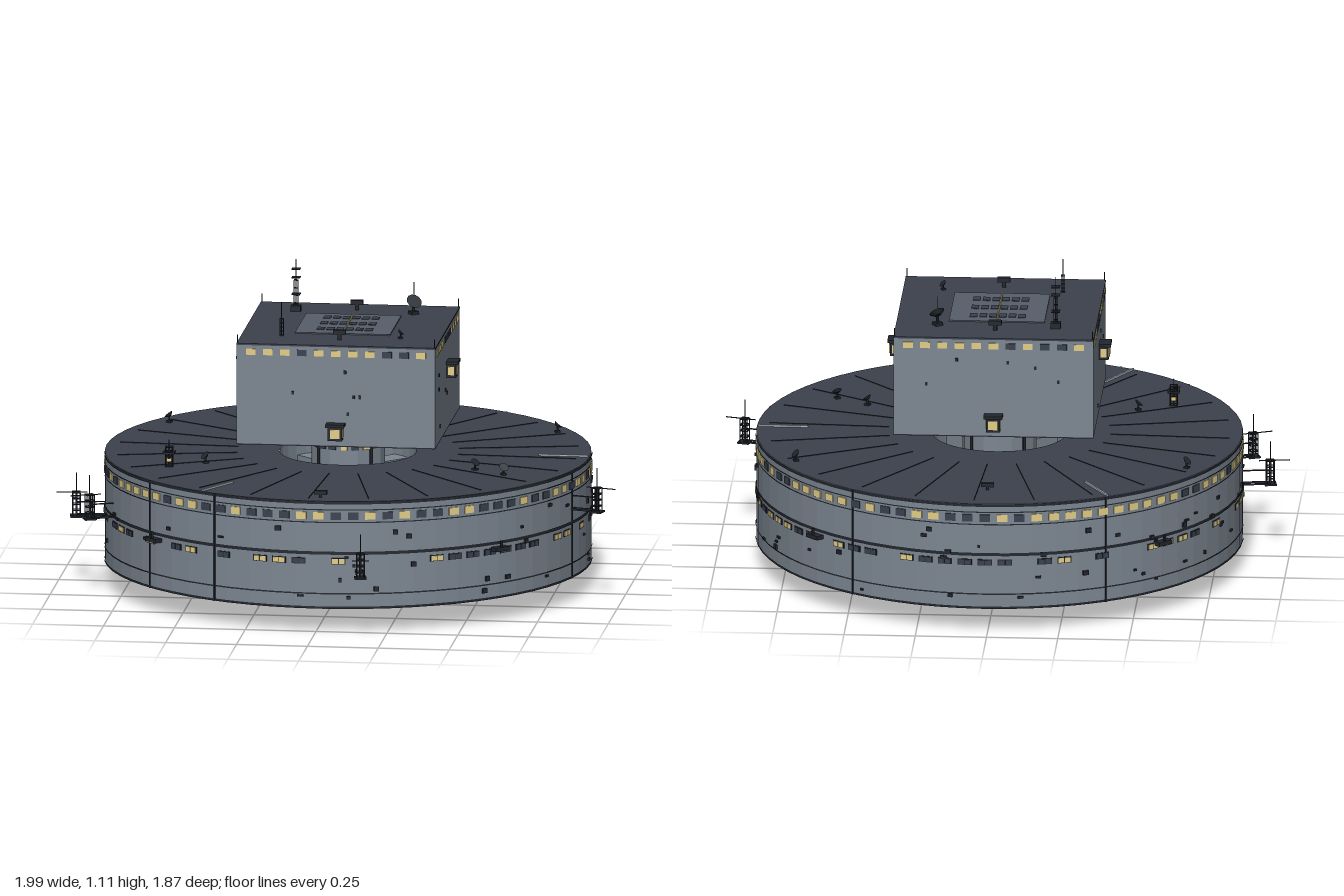
import * as THREE from 'three';

const mat = (name, color) => Object.assign(new THREE.MeshStandardMaterial({ color }), { name });
const hull = mat('hull grey', 0x7c8691);
const deck = mat('deck slate', 0x3c414d);
const trim = mat('dark trim', 0x22262d);
const panel = mat('roof panel grey', 0x575e6a);
const glass = mat('unlit window', 0x39414e);
const lit = mat('lit window', 0xe2cd86);
const pale = mat('pale marking', 0xb4b9bd);
hull.flatShading = true;

const R = 0.852, Y0 = 0.085, Y1 = 0.47, HOLE = 0.24, SIDES = 64;

// small seeded generator for scattered details
let seed = 7;
const rnd = () => (seed = (seed * 16807) % 2147483647) / 2147483647;

function add(parent, name, geo, material, x = 0, y = 0, z = 0) {
  const m = new THREE.Mesh(geo, material);
  m.name = name;
  m.position.set(x, y, z);
  parent.add(m);
  return m;
}
const box = (p, name, m, w, h, d, x, y, z) => add(p, name, new THREE.BoxGeometry(w, h, d), m, x, y, z);
const rod = (p, name, m, r, h, x, y, z) => add(p, name, new THREE.CylinderGeometry(r, r, h, 6), m, x, y + h / 2, z);

// box standing on a circle, turned so its z axis points outward (angle 0 = +x, 90 deg = +z)
function onRing(p, name, m, w, h, d, r, y, a) {
  const b = box(p, name, m, w, h, d, Math.cos(a) * r, y, Math.sin(a) * r);
  b.rotation.y = Math.PI / 2 - a;
  return b;
}

// flat ring lying at height y
function ring(p, name, m, inner, outer, y, up) {
  const r = add(p, name, new THREE.RingGeometry(inner, outer, SIDES), m, 0, y, 0);
  r.rotation.x = up ? -Math.PI / 2 : Math.PI / 2;
}

// open wall of a cylinder; inward walls show their inside
function wall(p, name, m, r, y0, y1, inward = false) {
  const g = new THREE.CylinderGeometry(r, r, y1 - y0, SIDES, 1, true);
  if (inward) g.scale(-1, 1, 1), g.setIndex(Array.from(g.index.array));
  const w = add(p, name, g, inward ? innerHull : m, 0, (y0 + y1) / 2, 0);
  return w;
}
const innerHull = hull.clone();
innerHull.side = THREE.DoubleSide;

function buildDisc(body) {
  const disc = new THREE.Group();
  disc.name = 'disc';
  body.add(disc);
  wall(disc, 'outerWall', hull, R, Y0, Y1);
  const shaft = add(disc, 'shaftWall', new THREE.CylinderGeometry(HOLE, HOLE, Y1 - Y0, 32, 1, true), innerHull, 0, (Y0 + Y1) / 2, 0);
  shaft.name = 'shaftWall';
  ring(disc, 'deckTop', deck, HOLE, R, Y1, true);
  ring(disc, 'underside', deck, HOLE, R, Y0, false);
  // grooves and lips around the rim
  for (const [y, h] of [[0.465, 0.01], [0.285, 0.011], [0.14, 0.005], [0.09, 0.008], [0.44, 0.004], [0.395, 0.004]])
    wall(disc, 'rimBand', trim, R + 0.003, y - h / 2, y + h / 2);
  // upper window row
  for (let i = 0; i < 88; i++)
    onRing(disc, 'upperWindow', rnd() < 0.62 ? lit : glass, 0.037, 0.026, 0.006, R, 0.418, (i / 88) * Math.PI * 2);
  // lower window row with gaps
  for (let i = 0; i < 76; i++) {
    const k = rnd();
    if (k < 0.25) continue;
    const a = (i / 76) * Math.PI * 2;
    onRing(disc, 'lowerWindowFrame', trim, 0.05, 0.022, 0.004, R, 0.256, a);
    for (const s of [-1, 1]) onRing(disc, 'lowerWindow', k < 0.72 ? lit : glass, 0.02, 0.017, 0.008, R, 0.256, a + s * 0.0135);
  }
  // small hatches and vents
  for (let i = 0; i < 70; i++)
    onRing(disc, 'vent', trim, 0.008 + rnd() * 0.014, 0.006 + rnd() * 0.012, 0.012, R, 0.11 + rnd() * 0.27, rnd() * Math.PI * 2);
  // vertical wall seams
  for (const a of [0.28, 2.03, 2.4, 4.2, 5.3]) onRing(disc, 'wallSeam', trim, 0.006, Y1 - Y0, 0.006, R, (Y0 + Y1) / 2, a);
  // deck seams and three pale approach lines
  for (let i = 0; i < 24; i++) onRing(disc, 'deckSeam', trim, 0.003, 0.002, 0.42, 0.6, Y1 + 0.001, (i / 24) * Math.PI * 2 + 0.05);
  for (let i = 0; i < 3; i++) onRing(disc, 'deckLine', pale, 0.007, 0.006, 0.175, 0.76, Y1 + 0.003, (i / 3) * Math.PI * 2);
  // brackets at the diagonals
  for (let i = 0; i < 4; i++) {
    const a = Math.PI / 4 + i * Math.PI / 2;
    onRing(disc, 'bracket', trim, 0.06, 0.014, 0.03, R + 0.012, 0.265, a);
    onRing(disc, 'bracketPost', trim, 0.008, 0.03, 0.008, R + 0.02, 0.28, a);
  }
}

function buildCore(body) {
  const core = new THREE.Group();
  core.name = 'core';
  body.add(core);
  add(core, 'coreColumn', new THREE.CylinderGeometry(0.13, 0.13, 0.56, 16), hull, 0, 0.28, 0);
  add(core, 'coreBase', new THREE.CylinderGeometry(0.131, 0.131, 0.004, 16), deck, 0, 0.002, 0);
  for (let i = 0; i < 4; i++) {
    const a = i * Math.PI / 2 + Math.PI / 4;
    onRing(core, 'coreSpoke', hull, 0.08, 0.28, 0.13, 0.18, 0.28, a);
    onRing(core, 'coreRib', trim, 0.012, 0.55, 0.006, 0.13, 0.28, a);
  }
  for (let i = 0; i < 20; i++)
    for (const y of [0.505, 0.53])
      onRing(core, 'coreWindow', rnd() < 0.5 ? lit : glass, 0.026, 0.014, 0.008, 0.129, y, (i / 20) * Math.PI * 2);
  for (let i = 0; i < 8; i++) onRing(core, 'coreVent', trim, 0.016, 0.012, 0.008, 0.129, 0.03, i * Math.PI / 4 + 0.2);
}

function buildTower(body) {
  const tower = new THREE.Group();
  tower.name = 'tower';
  body.add(tower);
  box(tower, 'towerBlock', hull, 0.7, 0.352, 0.7, 0, 0.738, 0);
  box(tower, 'towerRoof', deck, 0.702, 0.006, 0.702, 0, 0.917, 0);
  box(tower, 'towerFloor', deck, 0.7, 0.004, 0.7, 0, 0.56, 0);
  for (let s = 0; s < 4; s++) {
    const side = new THREE.Group();
    side.name = 'towerSide';
    side.rotation.y = s * Math.PI / 2;
    tower.add(side);
    for (let i = 0; i < 11; i++)
      box(side, 'towerWindow', rnd() < 0.6 ? lit : glass, 0.034, 0.022, 0.006, (i - 5) * 0.06, 0.891, 0.35);
    // projecting lookout with a dark hood
    const y = s % 2 ? 0.77 : 0.61;
    box(side, 'lookout', trim, 0.05, 0.05, 0.035, 0, y, 0.366);
    box(side, 'lookoutHood', trim, 0.066, 0.01, 0.044, 0, y + 0.029, 0.37);
    box(side, 'lookoutWindow', lit, 0.034, 0.032, 0.004, 0, y, 0.385);
    for (const e of [-1, 1]) box(side, 'lookoutSideWindow', lit, 0.004, 0.03, 0.02, e * 0.025, y, 0.366);
    for (let i = 0; i < 5; i++)
      box(side, 'towerVent', trim, 0.009, 0.012, 0.008, (rnd() - 0.5) * 0.62, 0.6 + rnd() * 0.24, 0.35);
    rod(side, 'cornerPost', trim, 0.002, 0.04, 0.347, 0.91, 0.347);
  }
  // roof panel with skylights and a line of lamps
  box(tower, 'roofPanel', panel, 0.335, 0.006, 0.325, 0, 0.921, 0);
  for (const z of [-0.1, -0.005, 0.09])
    for (let i = 0; i < 6; i++)
      box(tower, 'skylight', glass, 0.026, 0.004, 0.04, (i - 2.5) * 0.034, 0.924, z);
  for (let i = 0; i < 20; i++) box(tower, 'roofLamp', lit, 0.005, 0.004, 0.007, 0, 0.926, (i - 9.5) * 0.0165);
}

// lattice mast of four posts, rungs, whip and cross rods
function lattice(p, name, x, y, z, w, h, whip) {
  const g = new THREE.Group();
  g.name = name;
  g.position.set(x, y, z);
  p.add(g);
  for (const i of [-1, 1]) for (const k of [-1, 1]) rod(g, 'post', trim, w * 0.09, h, i * w / 2, 0, k * w / 2);
  for (let i = 0; i <= 4; i++) {
    for (const s of [-1, 1]) {
      box(g, 'rung', trim, w, w * 0.14, w * 0.14, 0, h * i / 4, s * w / 2);
      box(g, 'rung', trim, w * 0.14, w * 0.14, w, s * w / 2, h * i / 4, 0);
    }
  }
  rod(g, 'spine', trim, w * 0.16, h, 0, 0, 0);
  rod(g, 'whip', trim, 0.0018, whip, 0, h, 0);
  return g;
}

// mast held off the rim on a bracket arm; x and z are measured from the disc centre
function rimMast(body, x, z, y) {
  const r = Math.hypot(x, z);
  const g = lattice(body, 'rimMast', x, y, z, 0.026, 0.085, 0.07);
  g.rotation.y = -Math.atan2(z, x);
  const len = r - R;
  for (const s of [-1, 1]) box(g, 'arm', trim, len, 0.006, 0.004, -len / 2, 0.003, s * 0.012);
  box(g, 'platform', trim, 0.042, 0.006, 0.042, 0, 0, 0);
  box(g, 'brace', trim, len, 0.004, 0.004, -len / 2, 0.05, 0);
  box(g, 'crossRod', trim, 0.11, 0.003, 0.003, 0.015, 0.085, 0);
  box(g, 'crossRod', trim, 0.003, 0.003, 0.06, 0, 0.06, 0);
}

function dish(p, x, y, z, r, turn) {
  const g = new THREE.Group();
  g.name = 'dish';
  g.position.set(x, y, z);
  g.rotation.y = turn;
  p.add(g);
  rod(g, 'dishStem', trim, r * 0.2, r * 1.2, 0, 0, 0);
  box(g, 'dishFoot', trim, r, r * 0.4, r, 0, r * 0.2, 0);
  const bowl = add(g, 'dishBowl', new THREE.CylinderGeometry(r, r * 0.4, r * 0.5, 12), trim, 0, r * 1.5, 0);
  bowl.rotation.x = 0.8;
}

export function createModel() {
  seed = 7;
  const model = new THREE.Group();
  model.name = 'station';
  const body = new THREE.Group();
  body.name = 'body';
  body.position.set(0.01, 0, -0.087);
  model.add(body);
  buildDisc(body);
  buildCore(body);
  buildTower(body);

  // masts around the rim
  for (const [x, z, y] of [[-0.94, 0.155, 0.245], [-0.868, 0.357, 0.28], [0.91, 0.257, 0.33], [0.16, 0.947, 0.22]])
    rimMast(body, x, z, y);

  // tower roof equipment
  const tall = lattice(body, 'roofMast', -0.21, 0.92, -0.213, 0.014, 0.11, 0.075);
  for (const y of [0.06, 0.12, 0.15]) box(tall, 'crossRod', trim, 0.03, 0.003, 0.03, 0, y, 0);
  box(tall, 'mastFoot', trim, 0.035, 0.02, 0.03, 0, 0.01, 0);
  dish(body, 0.205, 0.92, -0.208, 0.028, 0.6);
  rod(body, 'dishWhip', trim, 0.0018, 0.11, 0.205, 0.92, -0.225);
  lattice(body, 'roofMast', -0.21, 0.92, 0.202, 0.012, 0.06, 0.06);
  dish(body, 0.21, 0.92, 0.202, 0.014, 2);
  for (const z of [-0.253, 0.247]) {
    box(body, 'roofUnit', trim, 0.045, 0.016, 0.018, 0, 0.947, z);
    rod(body, 'roofUnitStem', trim, 0.008, 0.03, 0, 0.918, z);
  }

  // deck equipment
  const beacon = lattice(body, 'beaconTower', -0.59, Y1, 0.337, 0.024, 0.07, 0.025);
  box(beacon, 'beaconPlatform', trim, 0.042, 0.006, 0.042, 0, 0.05, 0);
  box(beacon, 'beaconLamp', lit, 0.018, 0.014, 0.018, 0, 0.022, 0);
  for (const [x, z, t] of [[0.59, 0.337, 0.5], [0.48, 0.267, 1], [-0.47, 0.267, -1], [0.69, -0.393, 2], [-0.68, -0.393, -2]])
    dish(body, x, Y1, z, 0.017, t);
  for (const z of [-0.683, 0.787]) {
    box(body, 'deckUnit', trim, 0.045, 0.014, 0.016, 0, Y1 + 0.018, z);
    rod(body, 'deckUnitStem', trim, 0.006, 0.014, 0, Y1, z);
  }
  return model;
}
